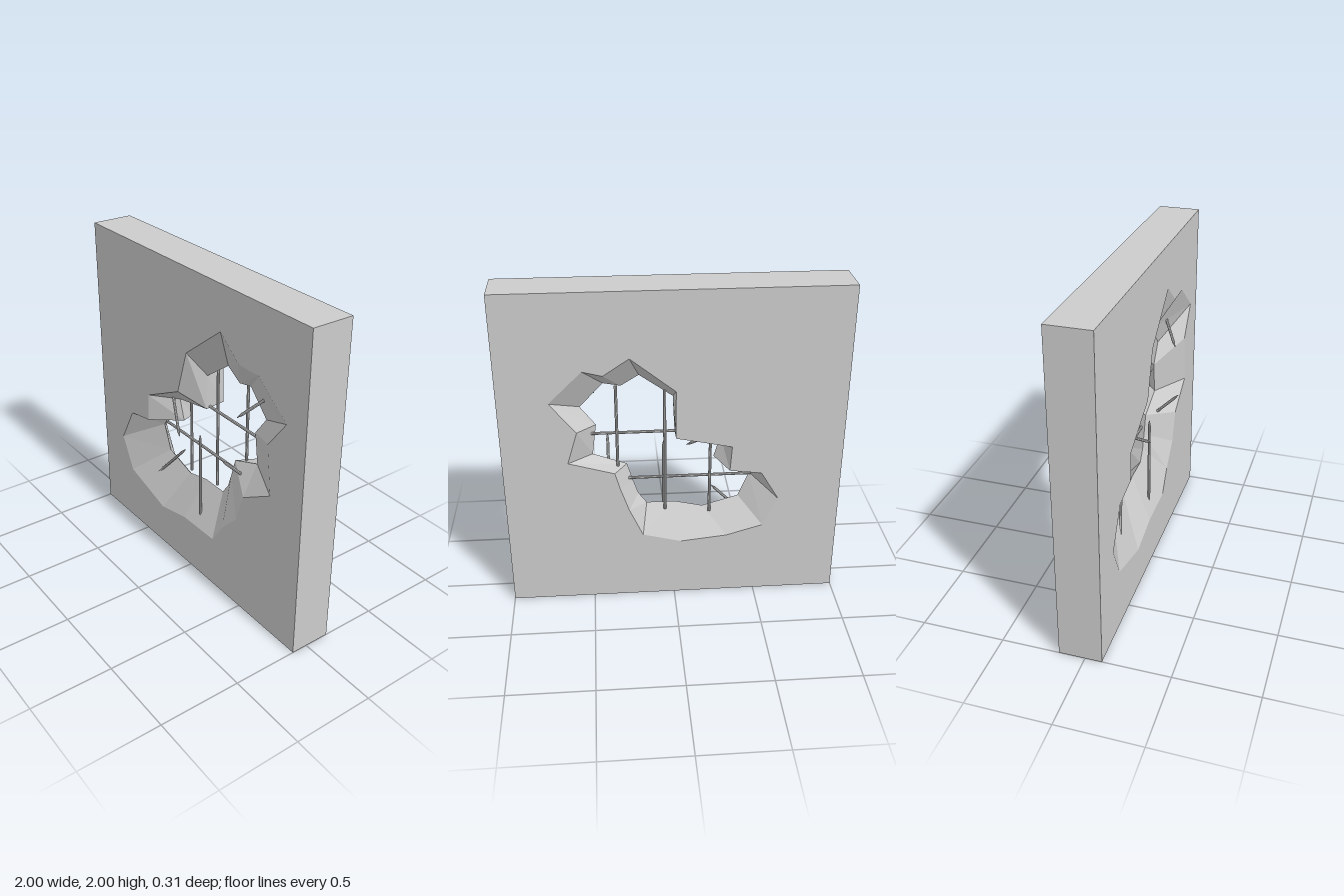
import * as THREE from 'three';

const FRONT = 0.1, MID = -0.03, BACK = -0.155;

// Hole rim, clockwise from the peak: front x,y, narrow waist x,y, back x,y
const RIM = [
  [0.29, 1.73, 0.195, 1.455, 0.25, 1.61],
  [0.45, 1.60, 0.30, 1.39, 0.40, 1.51],
  [0.62, 1.60, 0.40, 1.41, 0.515, 1.54],
  [0.85, 1.42, 0.54, 1.265, 0.71, 1.35],
  [0.71, 1.235, 0.45, 1.145, 0.56, 1.16],
  [0.745, 0.93, 0.475, 0.95, 0.62, 0.96],
  [0.515, 0.795, 0.275, 0.875, 0.35, 0.88],
  [0.455, 0.61, 0.24, 0.755, 0.32, 0.77],
  [0.325, 0.475, 0.21, 0.665, 0.27, 0.62],
  [0.23, 0.335, 0.16, 0.595, 0.19, 0.44],
  [-0.065, 0.33, -0.01, 0.595, -0.04, 0.38],
  [-0.31, 0.275, -0.18, 0.555, -0.32, 0.41],
  [-0.67, 0.38, -0.40, 0.62, -0.54, 0.475],
  [-0.775, 0.59, -0.465, 0.78, -0.63, 0.66],
  [-0.645, 0.825, -0.405, 0.87, -0.52, 0.845],
  [-0.455, 0.86, -0.245, 0.905, -0.33, 0.87],
  [-0.445, 1.04, -0.285, 1.04, -0.34, 1.03],
  [-0.12, 1.20, -0.01, 1.09, -0.01, 1.10],
  [-0.03, 1.485, 0, 1.315, -0.01, 1.40],
];
const SQUARE = [[-1, 0], [1, 0], [1, 2], [-1, 2]];

const material = new THREE.MeshStandardMaterial({ color: 0xcccccc, flatShading: true });

function addMesh(group, geometry, name) {
  const mesh = new THREE.Mesh(geometry, material);
  mesh.name = name;
  group.add(mesh);
  return mesh;
}

// Joins closed rings of equal length, listed from front to back
function loft(rings) {
  const n = rings[0].length, index = [];
  for (let r = 0; r < rings.length - 1; r++) {
    for (let i = 0; i < n; i++) {
      const a = r * n + i, b = r * n + (i + 1) % n;
      index.push(a, a + n, b, b, a + n, b + n);
    }
  }
  const geometry = new THREE.BufferGeometry();
  geometry.setAttribute('position', new THREE.Float32BufferAttribute(rings.flat(2), 3));
  geometry.setIndex(index);
  const flat = geometry.toNonIndexed();
  flat.computeVertexNormals();
  return flat;
}

const ringAt = (points, z) => points.map(([x, y]) => [x, y, z]);
const rimAt = (k) => RIM.map((p) => [p[2 * k], p[2 * k + 1]]);

// Square wall face with the broken opening; side is 1 for front, -1 for back
function face(hole, side) {
  const vectors = (points) => points.map(([x, y]) => new THREE.Vector2(x * side, y));
  const shape = new THREE.Shape(vectors(SQUARE));
  shape.holes.push(new THREE.Path(vectors(hole)));
  const geometry = new THREE.ShapeGeometry(shape);
  if (side < 0) geometry.rotateY(Math.PI);
  return geometry.translate(0, 0, side > 0 ? FRONT : BACK);
}

// Steel rod from a to b, with a pointed broken end at b if wanted
function addRod(group, a, b, name, pointed) {
  const start = new THREE.Vector3(...a), end = new THREE.Vector3(...b);
  const length = start.distanceTo(end), tip = pointed ? 0.035 : 0, r = 0.009;
  const rod = new THREE.Group();
  rod.name = name;
  const shaft = new THREE.CylinderGeometry(r, r, length - tip, 8);
  addMesh(rod, shaft.translate(0, (length - tip) / 2, 0), 'shaft');
  if (pointed) {
    const cone = new THREE.CylinderGeometry(0.002, r, tip, 8);
    addMesh(rod, cone.translate(0, length - tip / 2, 0), 'brokenTip');
  }
  rod.position.copy(start);
  rod.quaternion.setFromUnitVectors(new THREE.Vector3(0, 1, 0), end.sub(start).normalize());
  group.add(rod);
}

export function createModel() {
  const model = new THREE.Group();
  model.name = 'brokenWall';

  // Wall slab
  addMesh(model, face(rimAt(0), 1), 'wallFront');
  addMesh(model, face(rimAt(2), -1), 'wallBack');
  addMesh(model, loft([ringAt(SQUARE, FRONT), ringAt(SQUARE, BACK)]), 'wallEdges');

  // Crumbled inside of the hole, narrowest halfway through
  addMesh(model, loft([ringAt(rimAt(0), FRONT), ringAt(rimAt(1), MID), ringAt(rimAt(2), BACK)]), 'holeSides');

  // Upright and level reinforcing rods: position, from, to
  for (const [x, y0, y1] of [[-0.22, 0.54, 1.06], [0.05, 0.57, 1.37], [0.33, 0.87, 1.41]])
    addRod(model, [x, y0, -0.07], [x, y1, -0.07], 'uprightRod', false);
  for (const [y, x0, x1] of [[1.10, -0.03, 0.48], [0.79, -0.47, 0.27]])
    addRod(model, [x0, y, -0.055], [x1, y, -0.055], 'levelRod', false);

  // Snapped rods sticking out of the rubble
  const snapped = [
    [[0.05, 0.38, 0.06], [0.05, 0.97, 0.06]],
    [[-0.50, 0.39, 0.05], [-0.235, 0.70, -0.03]],
    [[-0.32, 1.07, 0], [-0.095, 0.91, 0.11]],
    [[0.59, 1.435, 0], [0.455, 1.285, 0.105]],
    [[0.385, 0.83, -0.01], [0.385, 0.99, 0.15]],
  ];
  for (const [a, b] of snapped) addRod(model, a, b, 'snappedRod', true);

  return model;
}
